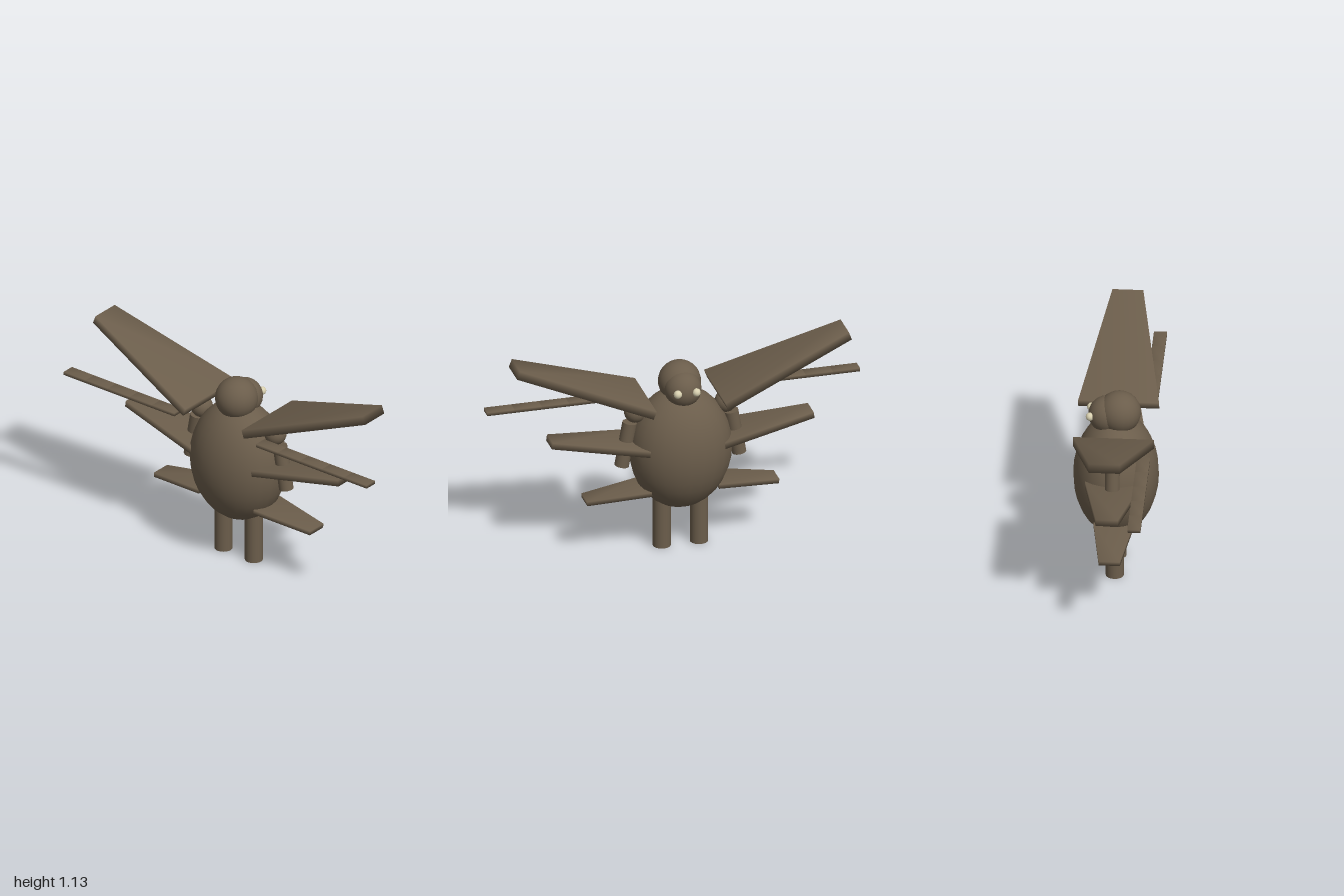
import * as THREE from 'three';
import { mergeVertices } from 'three/addons/utils/BufferGeometryUtils.js';

// Box whose corners share normals, so it shades softly
function softBox(w, h, d) {
  const box = new THREE.BoxGeometry(w, h, d);
  box.deleteAttribute('uv');
  box.deleteAttribute('normal');
  return mergeVertices(box);
}

// Tapered slab running from a root point to a tip point in the XY plane
function wingGeometry([x0, y0], [x1, y1], rootDepth, tipDepth, thickness) {
  const length = Math.hypot(x1 - x0, y1 - y0);
  const geo = softBox(length, thickness, 1);
  const pos = geo.attributes.position;
  for (let i = 0; i < pos.count; i++) {
    pos.setZ(i, pos.getZ(i) * (pos.getX(i) > 0 ? tipDepth : rootDepth));
  }
  geo.rotateZ(Math.atan2(y1 - y0, x1 - x0));
  geo.translate((x0 + x1) / 2, (y0 + y1) / 2, 0);
  geo.computeVertexNormals();
  return geo;
}

// Cylinder between two points in the XY plane
function limbGeometry([x0, y0], [x1, y1], radius) {
  const geo = new THREE.CylinderGeometry(radius, radius, Math.hypot(x1 - x0, y1 - y0), 20);
  geo.rotateZ(Math.atan2(y1 - y0, x1 - x0) - Math.PI / 2);
  geo.translate((x0 + x1) / 2, (y0 + y1) / 2, 0);
  return geo;
}

export function createModel() {
  const model = new THREE.Group();
  model.name = 'wingedCreature';

  const brown = new THREE.MeshStandardMaterial({ color: 0x6b5d4b });
  brown.name = 'brown';
  const cream = new THREE.MeshStandardMaterial({ color: 0xd8d0b0 });
  cream.name = 'cream';

  const add = (parent, name, geo, material = brown) => {
    const mesh = new THREE.Mesh(geo, material);
    mesh.name = name;
    parent.add(mesh);
    return mesh;
  };

  // Egg-shaped body
  const body = add(model, 'body', new THREE.SphereGeometry(1, 24, 16));
  body.scale.set(0.272, 0.335, 0.222);
  body.position.y = 0.555;

  // Head with a face lobe and eyes at -z
  add(model, 'head', new THREE.SphereGeometry(0.112, 24, 16)).position.set(0, 0.92, 0.017);
  add(model, 'face', new THREE.SphereGeometry(0.097, 24, 16)).position.set(0, 0.905, -0.047);

  for (const side of [1, -1]) {
    const label = side > 0 ? 'left' : 'right';
    add(model, label + 'Eye', new THREE.SphereGeometry(0.022, 16, 12), cream)
      .position.set(side * 0.05, 0.915, -0.132);

    // Limbs and wings: symmetric front to back, so a half turn mirrors them
    const half = new THREE.Group();
    half.name = label + 'Limbs';
    half.rotation.y = side > 0 ? 0 : Math.PI;
    model.add(half);
    add(half, 'upperWing', wingGeometry([0.193, 0.848], [0.89, 1.107], 0.42, 0.16, 0.046));
    add(half, 'middleWing', wingGeometry([0.2, 0.595], [0.702, 0.667], 0.295, 0.114, 0.034));
    add(half, 'lowerWing', wingGeometry([0.18, 0.345], [0.515, 0.311], 0.21, 0.11, 0.024));
    add(half, 'shoulder', new THREE.SphereGeometry(0.058, 20, 14)).position.set(0.243, 0.782, 0);
    add(half, 'arm', limbGeometry([0.272, 0.725], [0.315, 0.483], 0.038));
    add(half, 'leg', limbGeometry([0.1, 0], [0.1, 0.34], 0.047));

    // Jointed blade held out sideways
    const blade = new THREE.Group();
    blade.name = label + 'Blade';
    model.add(blade);
    const count = 5, start = 0.27, step = (1 - start) / count;
    for (let i = 0; i < count; i++) {
      const geo = softBox(step, 0.018, 0.068);
      geo.computeVertexNormals();
      add(blade, 'bladeSegment', geo).position.set(side * (start + step * (i + 0.5)), 0.803, 0.161);
    }
  }
  return model;
}
